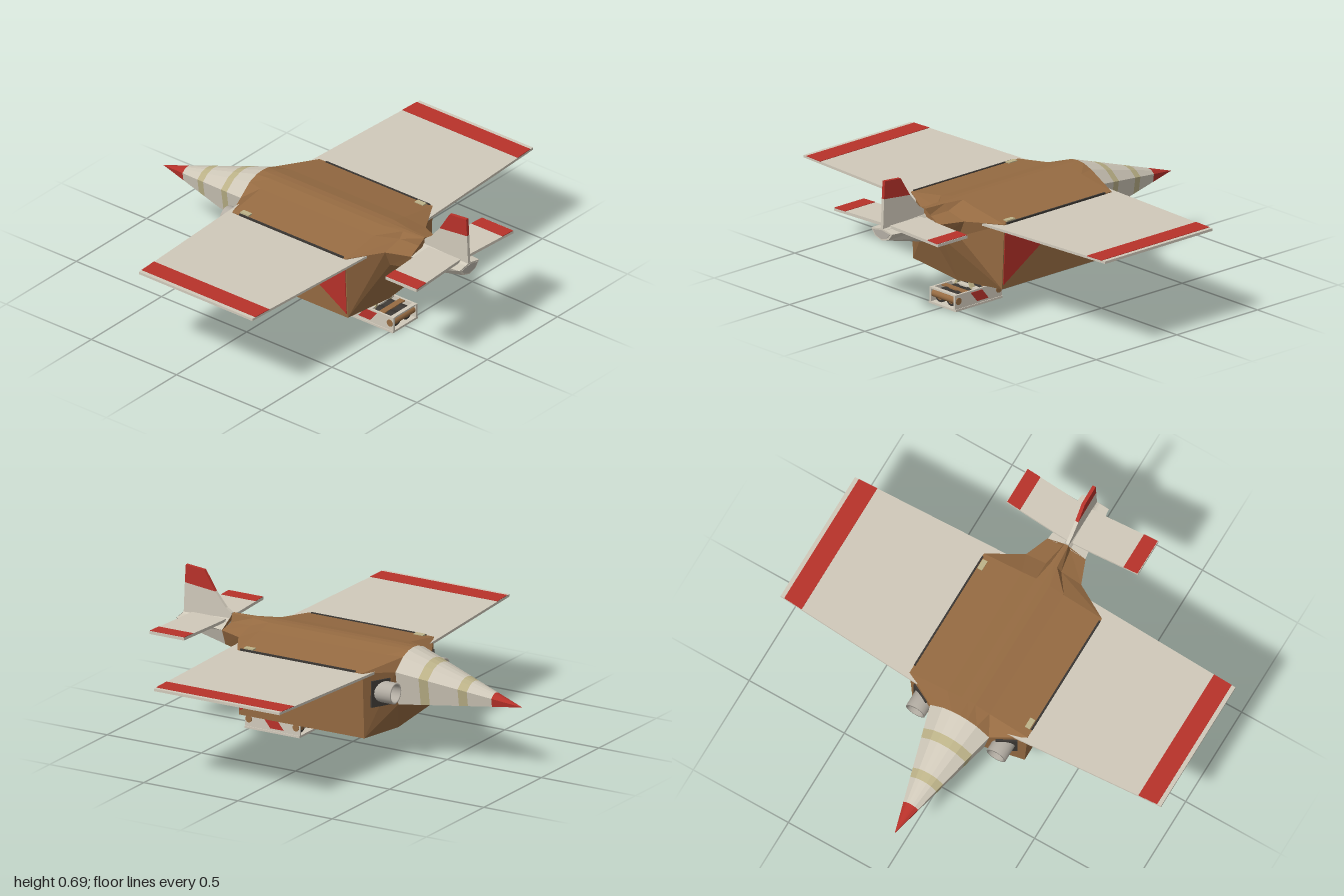
import * as THREE from 'three';

const mat = (name, color, side = THREE.FrontSide) => {
  const m = new THREE.MeshStandardMaterial({ color, side });
  m.name = name;
  return m;
};

export function createModel() {
  const brown = mat('brown', 0x966b42);
  const cream = mat('cream', 0xd0c9ba);
  const red = mat('red', 0xb8322a);
  const tan = mat('tan', 0xbdb389);
  const grey = mat('grey', 0xb4aea4, THREE.DoubleSide);
  const dark = mat('dark', 0x3b3733);

  const model = new THREE.Group();
  model.name = 'aircraft';

  const add = (name, geometry, material, x = 0, y = 0, z = 0, parent = model) => {
    const mesh = new THREE.Mesh(geometry, material);
    mesh.name = name;
    mesh.position.set(x, y, z);
    parent.add(mesh);
    return mesh;
  };
  const box = (w, h, d) => new THREE.BoxGeometry(w, h, d);

  // Loft through half sections { z, p: [[x, y], ...] }, ordered from +z to -z
  const loft = (sections) => {
    const rings = sections.map(({ z, p }) => [
      ...p.map(([x, y]) => [x, y, z]),
      ...p.slice(1, -1).reverse().map(([x, y]) => [-x, y, z]),
    ]);
    const n = rings[0].length;
    const v = [];
    const tri = (a, b, c) => v.push(...a, ...b, ...c);
    for (let i = 0; i < rings.length - 1; i++) {
      for (let j = 0; j < n; j++) {
        const k = (j + 1) % n;
        const [a, b, c, d] = [rings[i][j], rings[i][k], rings[i + 1][k], rings[i + 1][j]];
        tri(a, b, d);
        tri(b, c, d);
      }
    }
    const first = rings[0];
    const last = rings[rings.length - 1];
    for (let j = 1; j < n - 1; j++) {
      tri(first[0], first[j + 1], first[j]);
      tri(last[0], last[j], last[j + 1]);
    }
    const g = new THREE.BufferGeometry();
    g.setAttribute('position', new THREE.Float32BufferAttribute(v, 3));
    g.computeVertexNormals();
    return g;
  };

  const extrude = (points, depth) => new THREE.ExtrudeGeometry(
    new THREE.Shape(points.map(([x, y]) => new THREE.Vector2(x, y))),
    { depth, bevelEnabled: false });
  // Plate from plan points [x, z], growing upward
  const planPlate = (pts, h) => extrude(pts.map(([x, z]) => [x, -z]), h).rotateX(-Math.PI / 2);
  // Plate from profile points [z, y], centred across x
  const sidePlate = (pts, w) => extrude(pts.map(([z, y]) => [-z, y]), w)
    .rotateY(Math.PI / 2).translate(-w / 2, 0, 0);

  // Fuselage
  const full = [[0, 0.507], [0.035, 0.505], [0.11, 0.488], [0.31, 0.455], [0.295, 0.14], [0, 0.11]];
  const neck = [[0, 0.507], [0.04, 0.503], [0.09, 0.485], [0.155, 0.43], [0.13, 0.27], [0, 0.24]];
  const tailRoot = [[0, 0.507], [0.01, 0.505], [0.02, 0.465], [0.1, 0.45], [0.07, 0.375], [0, 0.345]];
  add('fuselage', loft([
    { z: 0.635, p: tailRoot },
    { z: 0.52, p: [[0, 0.507], [0.018, 0.505], [0.04, 0.475], [0.145, 0.45], [0.11, 0.37], [0, 0.333]] },
    { z: 0.425, p: full },
    { z: -0.24, p: full },
    { z: -0.32, p: neck },
  ]), brown);

  // Tail boom
  const boomEnd = [[0, 0.47], [0.01, 0.468], [0.02, 0.463], [0.07, 0.457], [0.045, 0.425], [0, 0.412]];
  add('tailBoom', loft([
    { z: 0.895, p: boomEnd },
    { z: 0.635, p: tailRoot.map(([x, y]) => [x * 0.98, Math.min(y, 0.48)]) },
  ]), cream);
  add('tailOutlet', loft([
    { z: 0.898, p: boomEnd.map(([x, y]) => [x * 0.8, 0.442 + (y - 0.442) * 0.75]) },
    { z: 0.89, p: boomEnd.map(([x, y]) => [x * 0.8, 0.442 + (y - 0.442) * 0.75]) },
  ]), grey);

  // Nose cone with coloured bands, all tapering to one tip
  const cone = (z) => {
    const t = (z + 0.32) / -0.58;
    return { z, p: neck.map(([x, y]) => [x * (1 - t), y + (0.318 - y) * t]) };
  };
  const stops = [-0.32, -0.425, -0.467, -0.603, -0.645, -0.757, -0.9];
  [cream, tan, cream, tan, cream, red].forEach((m, i) =>
    add(m === tan ? 'noseBand' : m === red ? 'noseTip' : 'noseSection',
      loft([cone(stops[i]), cone(stops[i + 1])]), m));

  // Fin
  add('finBase', sidePlate([[0.64, 0.505], [0.67, 0.525], [0.727, 0.593], [0.888, 0.61], [0.895, 0.45], [0.64, 0.45]], 0.016), cream);
  add('finTip', sidePlate([[0.727, 0.593], [0.785, 0.686], [0.883, 0.695], [0.888, 0.61]], 0.016), red);

  for (const s of [1, -1]) {
    const m = (pts) => pts.map(([x, z]) => [s * x, z]);

    // Wing with a painted stripe on its upper face
    const wing = new THREE.Group();
    wing.name = s > 0 ? 'leftWing' : 'rightWing';
    wing.position.y = 0.436;
    wing.rotation.z = s * 0.011;
    model.add(wing);
    add('wingPanel', planPlate(m([[0.2, -0.272], [1, -0.22], [1, 0.445], [0.2, 0.477]]), 0.012), cream, 0, 0, 0, wing);
    add('wingStripe', planPlate(m([[0.885, -0.227], [0.98, -0.221], [0.98, 0.446], [0.885, 0.45]]), 0.003), red, 0, 0.011, 0, wing);

    // Tailplane
    add('tailplane', planPlate(m([[0, 0.665], [0.07, 0.668], [0.345, 0.687], [0.345, 0.87], [0.07, 0.853], [0, 0.85]]), 0.014), cream, 0, 0.461);
    add('tailplaneStripe', planPlate(m([[0.272, 0.682], [0.342, 0.687], [0.342, 0.87], [0.272, 0.866]]), 0.003), red, 0, 0.474);

    // Flank marking, leaning with the body wall
    const mark = add('flankMarking', sidePlate([[0.42, 0], [0.175, 0], [0.175, -0.125], [0.42, -0.285]], 0.008), red, s * 0.309, 0.445);
    mark.rotation.z = -s * 0.048;

    // Roof edge rail and hatch tab
    add('roofRail', box(0.008, 0.012, 0.61), dark, s * 0.307, 0.454, 0.105);
    add('roofTab', box(0.025, 0.008, 0.05), tan, s * 0.287, 0.461, s > 0 ? 0.372 : -0.178);

    // Engine pipe in its dark bay
    const bay = add('engineBay', box(0.1, 0.125, 0.012), dark, s * 0.226, 0.347, -0.284);
    bay.rotation.y = -s * 0.477;
    const pipe = new THREE.LatheGeometry([
      [0.04, -0.05], [0.05, -0.05], [0.05, 0.05], [0.041, 0.05], [0.036, -0.045],
    ].map(([x, y]) => new THREE.Vector2(x, y)), 20).rotateX(-Math.PI / 2);
    add('enginePipe', pipe, grey, s * 0.212, 0.35, -0.305);
    add('engineCore', new THREE.CylinderGeometry(0.038, 0.038, 0.01, 20).rotateX(Math.PI / 2), dark, s * 0.212, 0.35, -0.285);
  }

  // Pod slung below the body
  const pod = new THREE.Group();
  pod.name = 'pod';
  pod.position.z = 0.375;
  model.add(pod);
  add('podFloor', box(0.18, 0.01, 0.29), cream, 0, 0.006, 0, pod);
  for (const s of [1, -1]) {
    add('podSide', box(0.01, 0.077, 0.29), cream, s * 0.081, 0.04, 0, pod);
    add('podMarking', sidePlate([[0.05, 0.07], [-0.02, 0.07], [-0.06, 0.022], [0.01, 0.022]], 0.004), red, s * 0.087, 0, 0, pod);
    add('podBarrel', new THREE.CylinderGeometry(0.032, 0.032, 0.25, 16).rotateX(Math.PI / 2), dark, s * 0.037, 0.044, 0, pod);
    add('podBarrelCore', new THREE.CylinderGeometry(0.02, 0.02, 0.256, 16).rotateX(Math.PI / 2), brown, s * 0.037, 0.044, 0, pod);
    add('podEndRail', box(0.16, 0.008, 0.02), cream, 0, 0.075, s * 0.133, pod);
    add('podAxle', new THREE.CylinderGeometry(0.017, 0.017, 0.178, 14).rotateZ(Math.PI / 2), brown, 0, 0.047, s * 0.125, pod);
    add('podSlat', box(0.15, 0.006, 0.03), brown, 0, 0.074, s * 0.065, pod);
    const strut = add('podStrut', box(0.012, 0.075, 0.022), tan, s * 0.042, 0.092, 0.005, pod);
    strut.rotation.z = s * 0.5;
  }
  add('podCrossbar', box(0.16, 0.008, 0.03), cream, 0, 0.075, 0, pod);

  return model;
}
